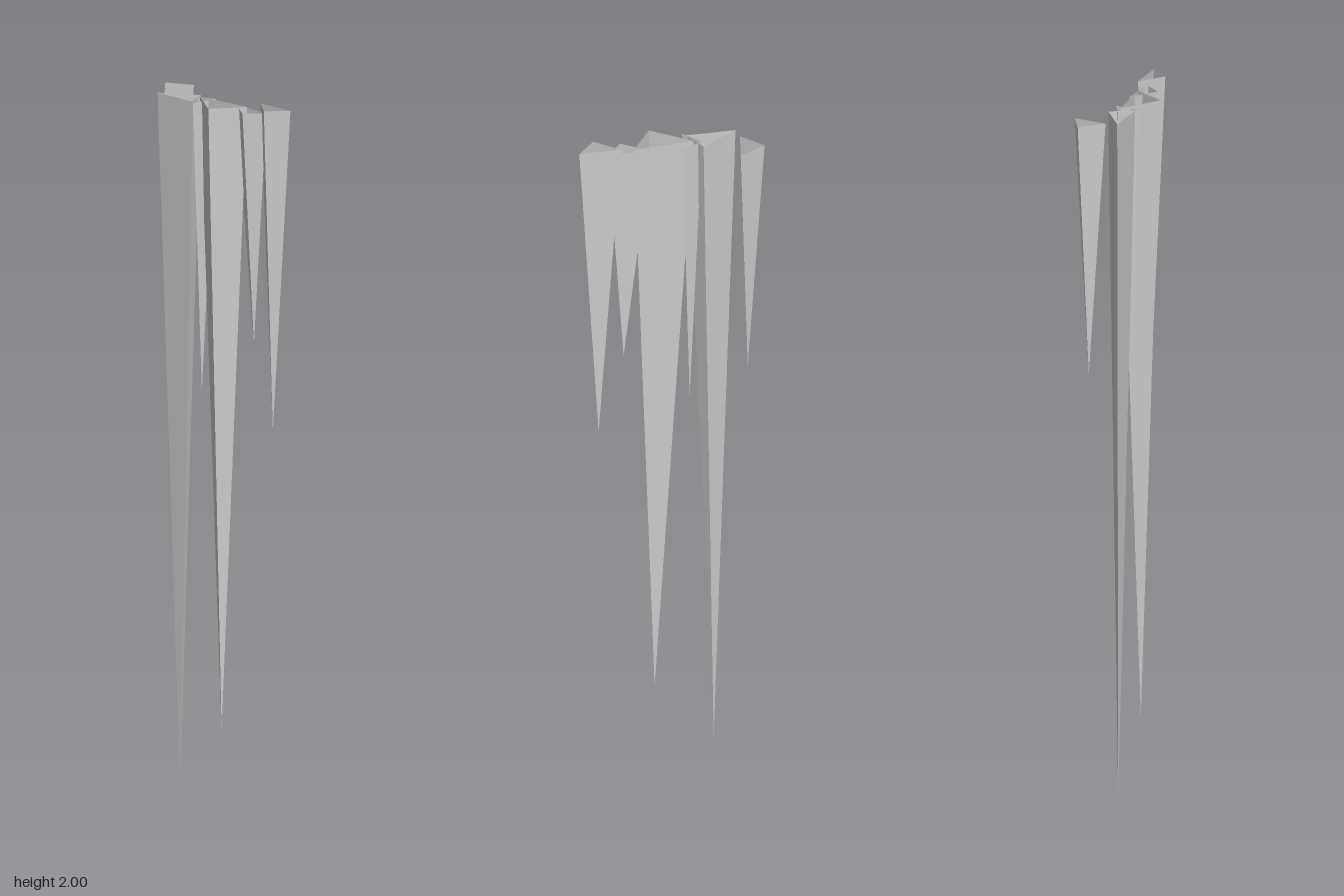
import * as THREE from 'three';

// Each icicle: three top corners [x, z] (clockwise from above), top height, tip [x, y, z]
const ICICLES = [
  { corners: [[0.072, -0.256], [0.099, -0.176], [0.004, -0.207]], top: 1.98, tip: [0.05, 1.25, -0.214] },
  { corners: [[-0.029, -0.206], [0.022, -0.094], [-0.049, -0.069]], top: 1.98, tip: [-0.016, 0, -0.137] },
  { corners: [[-0.06, -0.06], [-0.005, -0.099], [0.014, -0.035]], top: 1.98, tip: [-0.012, 1.14, -0.065] },
  { corners: [[-0.1, 0.024], [-0.008, -0.075], [-0.019, 0.097]], top: 1.985, tip: [-0.043, 0.19, 0.027] },
  { corners: [[-0.07, 0.12], [-0.006, 0.05], [-0.026, 0.17]], top: 1.98, tip: [-0.024, 1.31, 0.125] },
  { corners: [[-0.074, 0.197], [-0.01, 0.137], [-0.027, 0.254]], top: 2, tip: [-0.031, 1.07, 0.196] },
];

// Open-topped three-sided spike hanging down to its tip
function spikeGeometry({ corners, top, tip }) {
  const positions = [];
  corners.forEach(([x, z], i) => {
    const [nx, nz] = corners[(i + 1) % corners.length];
    positions.push(x, top, z, nx, top, nz, ...tip);
  });
  const geometry = new THREE.BufferGeometry();
  geometry.setAttribute('position', new THREE.Float32BufferAttribute(positions, 3));
  geometry.computeVertexNormals();
  return geometry;
}

export function createModel() {
  const group = new THREE.Group();
  group.name = 'icicles';
  const material = new THREE.MeshStandardMaterial({
    color: 0xcccccc, flatShading: true, side: THREE.DoubleSide,
  });
  ICICLES.forEach((spec, i) => {
    const icicle = new THREE.Mesh(spikeGeometry(spec), material);
    icicle.name = `icicle${i + 1}`;
    group.add(icicle);
  });
  return group;
}
